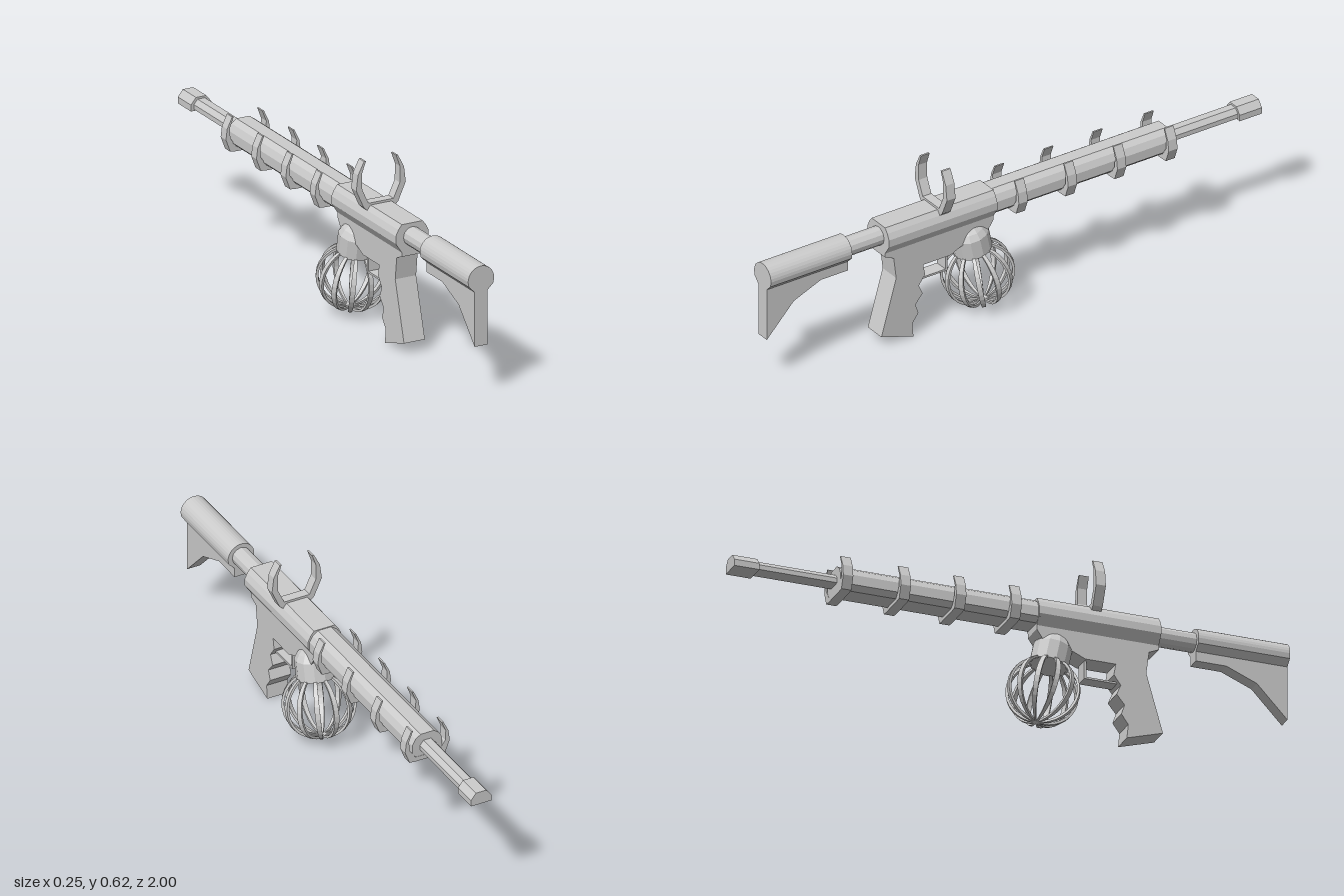
import * as THREE from 'three';

const material = new THREE.MeshStandardMaterial({ color: 0xcccccc, flatShading: true, side: THREE.DoubleSide });

const toShape = (pts) => new THREE.Shape(pts.map(([a, b]) => new THREE.Vector2(a, b)));

function mesh(name, geometry) {
  const m = new THREE.Mesh(geometry, material);
  m.name = name;
  return m;
}

// Mirrors the +x half of an outline (listed bottom to top)
function mirrored(half) {
  return [...half, ...half.map(([x, y]) => [-x, y]).reverse()];
}

// Cross-section in x/y swept from z0 to z1
function alongZ(name, pts, z0, z1) {
  const g = new THREE.ExtrudeGeometry(toShape(pts), { depth: z1 - z0, bevelEnabled: false });
  return mesh(name, g.translate(0, 0, z0));
}

// Side profile given as [z, y], centred across the given width
function sidePlate(name, pts, width) {
  const g = new THREE.ExtrudeGeometry(toShape(pts), { depth: width, bevelEnabled: false });
  return mesh(name, g.translate(0, 0, -width / 2).rotateY(-Math.PI / 2));
}

export function createModel() {
  const model = new THREE.Group();

  // Shoulder stock: rounded tube with a thin blade below
  const stockHalf = [[0.025, 0.37], [0.047, 0.392]];
  for (let i = 0; i <= 7; i++) {
    const a = (i / 7) * Math.PI * 0.47;
    stockHalf.push([0.05 * Math.cos(a), 0.41 + 0.05 * Math.sin(a)]);
  }
  model.add(alongZ('stockTube', mirrored(stockHalf), 0.67, 1));
  model.add(sidePlate('stockBlade',
    [[1, 0.175], [1, 0.38], [0.67, 0.38], [0.67, 0.335], [0.78, 0.335], [0.89, 0.29]], 0.05));

  // Tube joining stock and receiver
  const link = new THREE.CylinderGeometry(0.034, 0.034, 0.16, 12).rotateX(Math.PI / 2);
  model.add(mesh('bufferTube', link.translate(0, 0.412, 0.6)));

  // Receiver, handguard, barrel and muzzle
  model.add(alongZ('receiver',
    mirrored([[0.04, 0.36], [0.063, 0.395], [0.063, 0.422], [0.053, 0.443], [0.04, 0.46]]), 0.09, 0.53));
  model.add(alongZ('handguard',
    mirrored([[0.038, 0.368], [0.057, 0.385], [0.057, 0.42], [0.045, 0.443], [0.025, 0.457]]), -0.625, 0.1));
  model.add(alongZ('barrel',
    mirrored([[0.028, 0.396], [0.028, 0.413], [0.014, 0.43]]), -0.93, -0.6));
  model.add(alongZ('muzzle',
    mirrored([[0.039, 0.39], [0.039, 0.413], [0.02, 0.437]]), -1, -0.91));

  // Lower receiver and pistol grip with finger notches
  model.add(sidePlate('grip', [
    [0.53, 0.365], [0.53, 0.345], [0.495, 0.33], [0.485, 0.25], [0.545, 0.04], [0.415, 0],
    [0.42, 0.05], [0.395, 0.085], [0.407, 0.12], [0.378, 0.155], [0.393, 0.19], [0.368, 0.225],
    [0.375, 0.265], [0.265, 0.265], [0.22, 0.285], [0.12, 0.3], [0.09, 0.345], [0.09, 0.365],
  ], 0.08));

  // Trigger guard
  model.add(sidePlate('triggerGuard', [
    [0.385, 0.2], [0.385, 0.207], [0.275, 0.207], [0.275, 0.275], [0.267, 0.275], [0.267, 0.2],
  ], 0.05));

  // Upright horns on top of the receiver
  const horns = [
    [0.05, 0.44], [0.066, 0.455], [0.095, 0.52], [0.088, 0.575], [0.065, 0.62],
    [0.058, 0.62], [0.073, 0.578], [0.072, 0.52], [0.048, 0.468],
  ];
  model.add(alongZ('sightHorns', mirrored(horns), 0.282, 0.317));

  // Claw bands gripping the handguard from below
  const claw = [
    [0.045, 0.355], [0.068, 0.357], [0.085, 0.402], [0.08, 0.44], [0.061, 0.48],
    [0.055, 0.48], [0.07, 0.442], [0.068, 0.405], [0.045, 0.372],
  ];
  [0, -0.2, -0.4, -0.608].forEach((z) => {
    model.add(alongZ('clawBand', mirrored(claw), z - 0.018, z + 0.018));
  });

  // Tilted round cage hanging from a faceted socket
  const cage = new THREE.Group();
  cage.name = 'cage';
  cage.position.set(0, 0.138, 0.128);
  cage.rotation.x = 0.21;
  const profile = [[0, 0.098], [0.068, 0.098], [0.068, 0.168], [0.055, 0.19], [0.028, 0.218], [0, 0.222]];
  cage.add(mesh('socket', new THREE.LatheGeometry(profile.map(([r, y]) => new THREE.Vector2(r, y)), 12)));

  // One curved rib, narrowing towards the pole
  const R = 0.126;
  const steps = 14;
  const arc = (r) => Array.from({ length: steps + 1 }, (_, i) => {
    const a = -Math.PI / 2 + (i / steps) * Math.PI * 0.83;
    return [r * Math.cos(a), r * 0.97 * Math.sin(a)];
  });
  const rib = new THREE.ExtrudeGeometry(toShape([...arc(R), ...arc(R - 0.009).reverse()]),
    { depth: 0.018, bevelEnabled: false }).translate(0, 0, -0.009);
  const p = rib.attributes.position;
  for (let i = 0; i < p.count; i++) {
    p.setZ(i, p.getZ(i) * (0.2 + 0.8 * Math.min(1, p.getX(i) / R)));
  }
  rib.computeVertexNormals();
  for (let i = 0; i < 12; i++) {
    const m = mesh('cageRib', rib);
    m.rotation.y = (i / 12) * Math.PI * 2;
    cage.add(m);
  }
  model.add(cage);

  return model;
}
